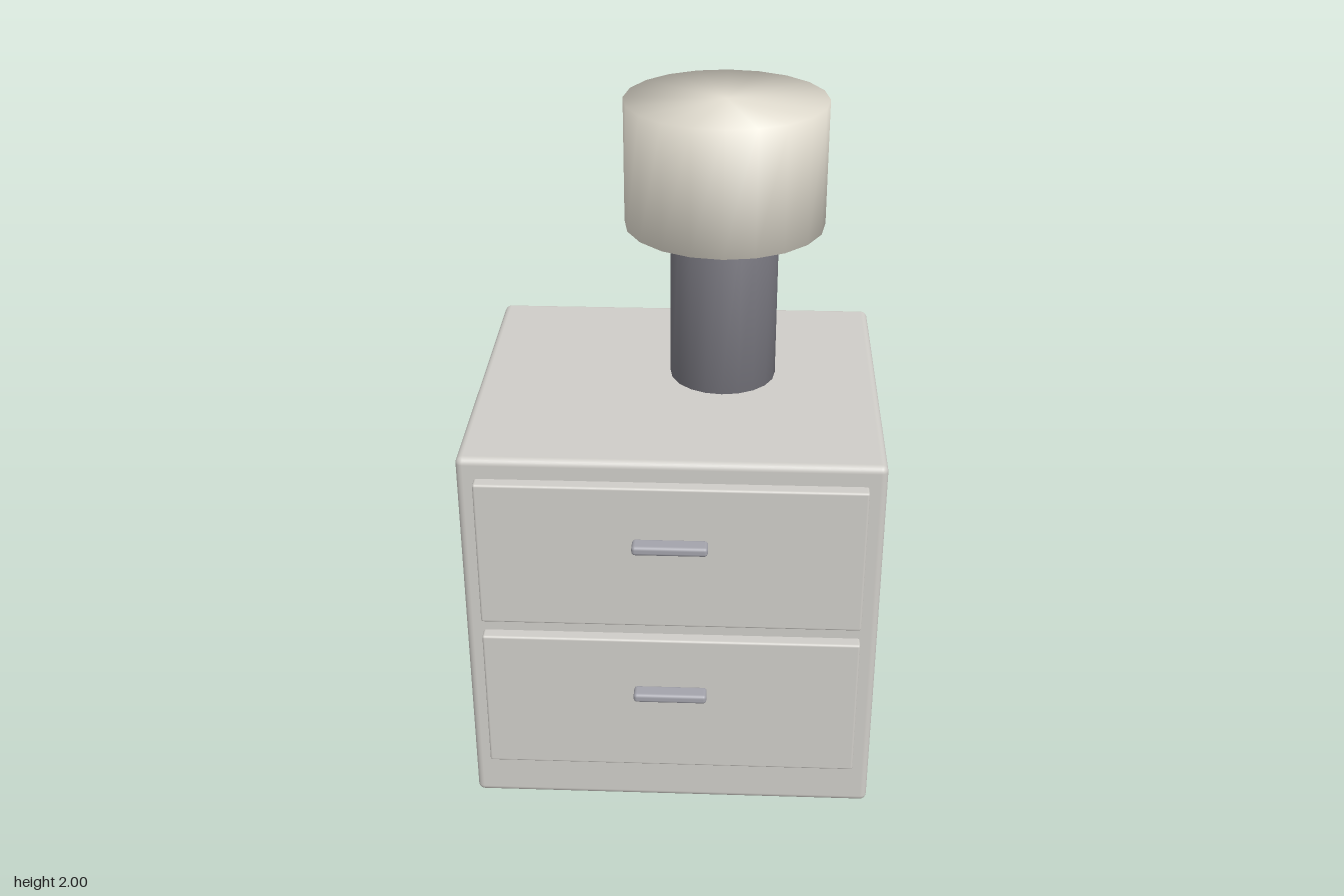
import * as THREE from 'three';
import { RoundedBoxGeometry } from 'three/addons/geometries/RoundedBoxGeometry.js';
import { mergeVertices } from 'three/addons/utils/BufferGeometryUtils.js';

const material = (color) => new THREE.MeshStandardMaterial({ color });
const paint = material(0xcfcdc8);
const metal = material(0xa3a3ab);
const darkMetal = material(0x77767e);
const cream = material(0xe6e1d4);

// Soft-edged box given by its minimum and maximum corners
function box(name, min, max, radius, mat) {
  const size = max.map((v, i) => v - min[i]);
  const mesh = new THREE.Mesh(new RoundedBoxGeometry(...size, 3, radius), mat);
  mesh.position.set(...max.map((v, i) => (v + min[i]) / 2));
  mesh.name = name;
  return mesh;
}

// Closed drum whose normals blend smoothly over the rims
function drum(name, radius, bottom, top, mat) {
  let geometry = new THREE.CylinderGeometry(radius, radius, top - bottom, 20);
  geometry.deleteAttribute('normal');
  geometry.deleteAttribute('uv');
  geometry = mergeVertices(geometry, 1e-4);
  geometry.computeVertexNormals();
  const mesh = new THREE.Mesh(geometry, mat);
  mesh.position.y = (bottom + top) / 2;
  mesh.name = name;
  return mesh;
}

export function createModel() {
  const model = new THREE.Group();
  model.name = 'nightstandWithLamp';

  // Cabinet body
  model.add(box('cabinet', [-0.59, 0, -0.566], [0.59, 1.16, 0.484], 0.02, paint));

  // Two drawers, each with a bar handle
  ['lowerDrawer', 'upperDrawer'].forEach((name, i) => {
    const y = 0.15 + i * 0.5;
    const drawer = new THREE.Group();
    drawer.name = name;
    drawer.add(
      box('drawerFront', [-0.54, y, 0.47], [0.54, y + 0.45, 0.52], 0.007, paint),
      box('handle', [-0.105, y + 0.262, 0.515], [0.105, y + 0.29, 0.565], 0.01, metal)
    );
    model.add(drawer);
  });

  // Table lamp standing off-centre on the top
  const lamp = new THREE.Group();
  lamp.name = 'lamp';
  lamp.position.set(0.13, 0, -0.094);
  lamp.add(
    drum('lampBase', 0.157, 1.16, 1.65, darkMetal),
    drum('lampShade', 0.289, 1.637, 2, cream)
  );
  model.add(lamp);

  return model;
}
